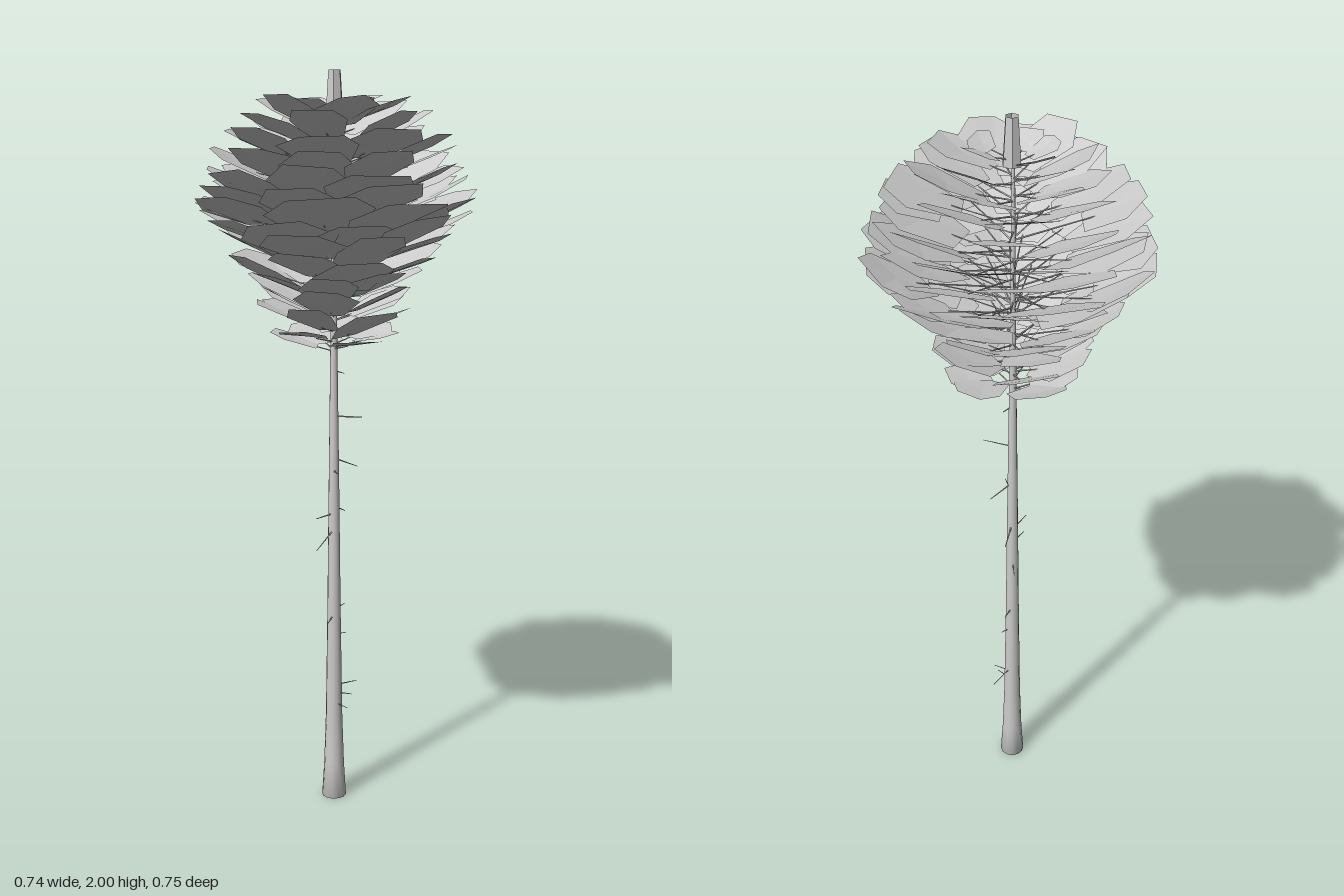
import * as THREE from 'three';
import { mergeGeometries } from 'three/addons/utils/BufferGeometryUtils.js';

// small seeded random source
let seed = 7;
const rnd = (a = 0, b = 1) => {
  seed = (seed * 16807) % 2147483647;
  return a + (b - a) * (seed / 2147483647);
};

// tapered stick between two points
function stick(a, b, r0, r1) {
  const dir = b.clone().sub(a);
  const g = new THREE.CylinderGeometry(r1, r0, dir.length(), 4);
  g.applyQuaternion(new THREE.Quaternion().setFromUnitVectors(new THREE.Vector3(0, 1, 0), dir.normalize()));
  const mid = a.clone().add(b).multiplyScalar(0.5);
  return g.translate(mid.x, mid.y, mid.z);
}

// angular leaf pad, broader toward its outer end; +x points outward, y is up
const padOutline = [[-0.5, -0.24], [0.14, -0.5], [0.48, -0.3], [0.5, 0.26], [0.1, 0.5], [-0.5, 0.24]];
function leafPad(length, width) {
  const rim = padOutline.map(([u, v]) =>
    [u * length + rnd(-0.008, 0.008), rnd(-0.003, 0.003), v * width + rnd(-0.015, 0.015)]);
  const pos = [];
  rim.forEach((p, i) => pos.push(0, -0.003, 0, ...rim[(i + 1) % rim.length], ...p));
  const g = new THREE.BufferGeometry();
  g.setAttribute('position', new THREE.Float32BufferAttribute(pos, 3));
  g.computeVertexNormals();
  return g;
}

export function createModel() {
  seed = 7;
  const tree = new THREE.Group();
  const bark = new THREE.MeshStandardMaterial({ color: 0xcccccc });
  bark.name = 'pale grey';
  const foliage = bark.clone();
  foliage.name = 'leaf grey';
  foliage.side = THREE.DoubleSide;
  foliage.flatShading = true;
  const add = (name, geo, mat) => {
    const m = new THREE.Mesh(geo, mat);
    m.name = name;
    tree.add(m);
  };
  const cx = 0.005, cz = -0.006; // trunk axis

  // tall tapering trunk with a flared foot
  const profile = [[0, 0], [0.034, 0], [0.028, 0.1], [0.023, 0.25], [0.0185, 0.55], [0.0145, 0.9],
    [0.01, 1.25], [0.007, 1.5], [0.004, 1.95], [0, 1.96]];
  add('trunk', new THREE.LatheGeometry(profile.map(p => new THREE.Vector2(...p)), 12).translate(cx, 0, cz), bark);

  // upright leaf sheath at the tip
  add('tip', new THREE.CylinderGeometry(0.017, 0.025, 0.12, 6, 1, true).translate(0, 1.94, 0), foliage);

  // bare twigs: start height, end x, end y, end z
  const twigs = [[0.33, 0.09, 0.32, 0.01], [0.31, 0.01, 0.315, 0.05], [0.28, -0.01, 0.28, 0.05],
    [0.54, -0.045, 0.53, 0.01], [0.555, 0.06, 0.555, -0.01], [0.48, 0.04, 0.48, 0.01],
    [0.72, 0.05, 0.71, -0.035], [0.785, -0.095, 0.75, 0.01], [0.83, -0.07, 0.83, -0.01],
    [0.85, 0.075, 0.82, -0.02], [0.95, -0.04, 0.955, 0.04], [0.985, 0.065, 0.955, 0.03],
    [1.1, 0.02, 1.105, 0.075], [1.225, 0.03, 1.215, 0.01]];
  add('twigs', mergeGeometries(twigs.map(([y, x, ty, z]) =>
    stick(new THREE.Vector3(cx, y, cz), new THREE.Vector3(x, ty, z), 0.0025, 0.001))), bark);

  // crown tiers: outer height, outer radius, pad count
  const tiers = [[1.34, 0.175, 6], [1.415, 0.205, 7], [1.45, 0.21, 6], [1.495, 0.235, 7], [1.55, 0.28, 8],
    [1.605, 0.32, 8], [1.645, 0.35, 9], [1.69, 0.37, 9], [1.725, 0.345, 8], [1.76, 0.345, 9],
    [1.805, 0.315, 8], [1.85, 0.29, 8], [1.89, 0.24, 7], [1.937, 0.2, 6], [1.937, 0.12, 5]];
  const pads = [], branches = [];
  tiers.forEach(([y, r, count], t) => {
    const slope = t === 0 ? 0.24 : 0.42;
    for (let i = 0; i < count; i++) {
      const a = ((i + rnd(-0.2, 0.2)) / count) * Math.PI * 2 + t * 2.4;
      const outer = r * rnd(0.93, 1.03);
      const length = Math.min(outer - 0.045, rnd(0.15, 0.2));
      const tilt = slope + rnd(-0.07, 0.08);
      const width = (0.04 + r * 0.55) * rnd(0.9, 1.15);
      const mid = outer - length / 2;
      const cy = Math.min(y + rnd(-0.015, 0.012), 1.937) - Math.tan(tilt) * length * 0.5;
      pads.push(leafPad(length / Math.cos(tilt), width)
        .rotateX(rnd(-0.08, 0.08)).rotateZ(tilt).translate(mid, cy, 0).rotateY(a));
      // thin branch carrying the pad at its inner end
      const inner = mid - length * 0.3;
      const end = new THREE.Vector3(Math.cos(a) * inner, cy - Math.tan(tilt) * length * 0.3 - 0.004, -Math.sin(a) * inner);
      branches.push(stick(new THREE.Vector3(cx, end.y - inner * 0.25, cz), end, 0.0025, 0.0015));
    }
  });
  add('leafPads', mergeGeometries(pads), foliage);
  add('branches', mergeGeometries(branches), bark);
  return tree;
}
